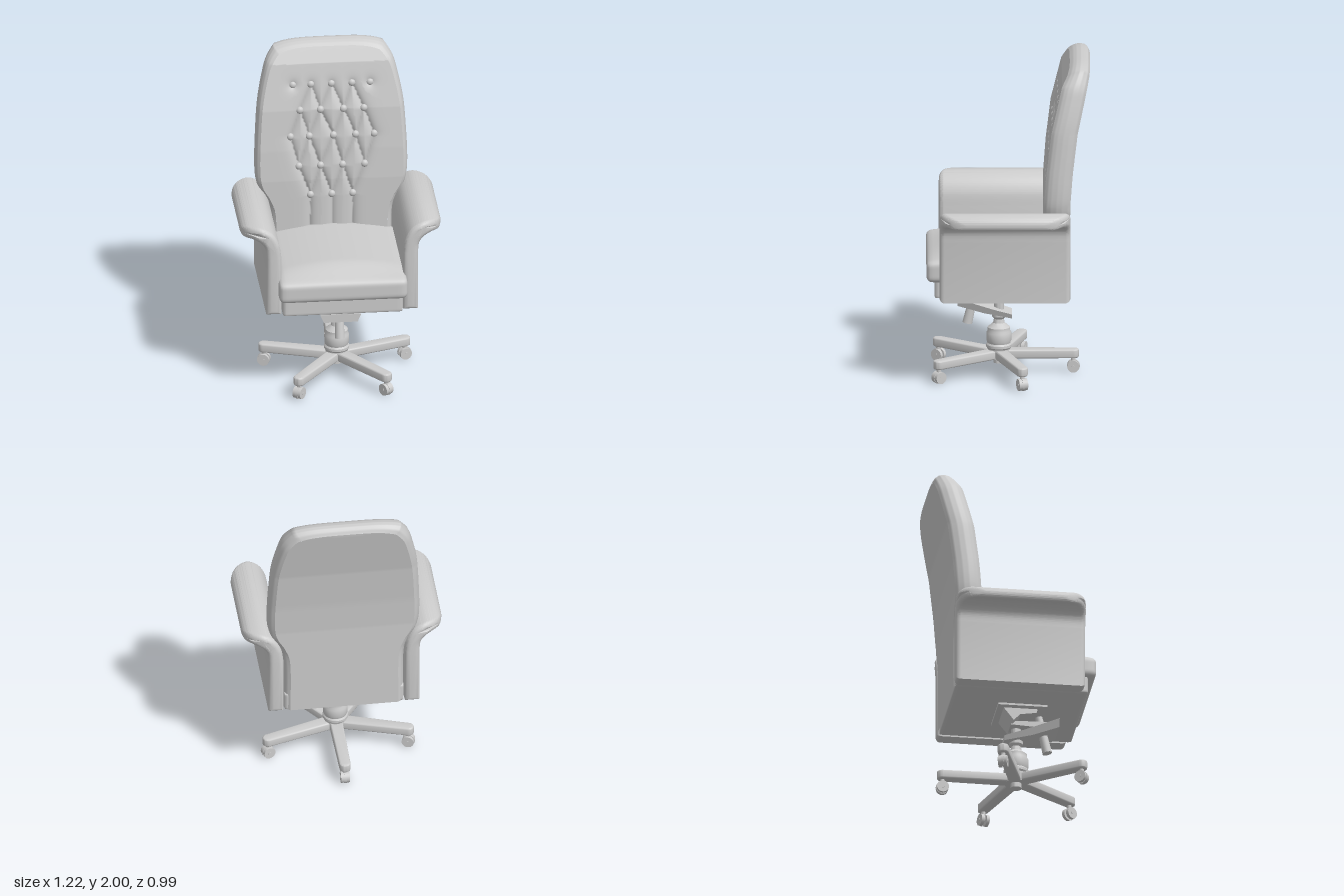
import * as THREE from 'three';
import { mergeVertices, toCreasedNormals } from 'three/addons/utils/BufferGeometryUtils.js';
import { ParametricGeometry } from 'three/addons/geometries/ParametricGeometry.js';

const mat = new THREE.MeshStandardMaterial({ color: 0xcccccc });

function add(parent, name, geo, x = 0, y = 0, z = 0) {
  const m = new THREE.Mesh(geo, mat);
  m.name = name;
  m.position.set(x, y, z);
  parent.add(m);
  return m;
}

// piecewise linear lookup in a list of [key, value]
function lookup(table, k) {
  if (k <= table[0][0]) return table[0][1];
  for (let i = 1; i < table.length; i++) {
    const [a, va] = table[i - 1], [b, vb] = table[i];
    if (k <= b) return va + (vb - va) * (k - a) / (b - a);
  }
  return table[table.length - 1][1];
}

// subdivided block with rounded edges
function roundBlock(w, h, d, r) {
  let g = new THREE.BoxGeometry(w, h, d, 36, 12, 36);
  g.deleteAttribute('uv');
  g.deleteAttribute('normal');
  g = mergeVertices(g);
  const p = g.attributes.position, v = new THREE.Vector3(), c = new THREE.Vector3();
  const inner = new THREE.Vector3(w / 2 - r, h / 2 - r, d / 2 - r);
  for (let i = 0; i < p.count; i++) {
    v.fromBufferAttribute(p, i);
    c.copy(v).clamp(inner.clone().negate(), inner);
    v.sub(c).setLength(r).add(c);
    p.setXYZ(i, v.x, v.y, v.z);
  }
  g.computeVertexNormals();
  return g;
}

// side profile of [z, y] points, extruded across x and centred
function sideExtrude(points, width) {
  const g = new THREE.ExtrudeGeometry(new THREE.Shape(points.map(([z, y]) => new THREE.Vector2(-z, y))),
    { depth: width, bevelEnabled: false });
  return g.translate(0, 0, -width / 2).rotateY(Math.PI / 2);
}

function buildBackrest() {
  const back = new THREE.Group();
  back.name = 'backrest';
  const outline = new THREE.SplineCurve([[.37, .56], [.37, .9], [.4, 1.02], [.452, 1.12], [.466, 1.25],
    [.456, 1.5], [.442, 1.65], [.412, 1.8], [.385, 1.89], [.335, 1.97]].map(p => new THREE.Vector2(...p)));
  const frontZ = y => lookup([[1.15, -.21], [1.35, -.225], [1.6, -.255], [1.88, -.32], [2, -.385]], y);
  const backZ = y => lookup([[1.15, -.37], [1.35, -.385], [1.6, -.415], [1.95, -.49], [2, -.497]], y);
  // u runs across, v up, inset shrinks the outline, f goes from front to back
  const place = (u, v, inset, f, t) => {
    const p = outline.getPoint(Math.min(1, Math.max(0, v)));
    const y = p.y + .03 * (1 - u ** 4) * v ** 8 - inset * v ** 6;
    return t.set(u * (p.x - inset), y, THREE.MathUtils.lerp(frontZ(y), backZ(y), f));
  };

  // buttons and the creases that join them
  const rows = [[1.75, [-.23, -.12, .005, .13, .24]], [1.595, [-.19, -.065, .075, .2]],
    [1.43, [-.25, -.135, .012, .147, .26]], [1.24, [-.2, -.068, .066, .2]], [1.05, [-.13, 0, .127]]];
  const creases = [];
  rows.forEach(([y, xs], r) => xs.forEach(x => {
    creases.push([x, y, x, y]);
    if (r === 4) creases.push([x, y, x, .75]);
    else if (r > 0 || Math.abs(x) < .2)
      rows[r + 1][1].forEach(x2 => { if (Math.abs(x2 - x) < .1) creases.push([x, y, x2, rows[r + 1][0]]); });
  }));
  const groove = (x, y) => {
    let best = 1;
    for (const [ax, ay, bx, by] of creases) {
      const dx = bx - ax, dy = by - ay, l = dx * dx + dy * dy;
      const t = l ? Math.min(1, Math.max(0, ((x - ax) * dx + (y - ay) * dy) / l)) : 0;
      best = Math.min(best, Math.hypot(x - ax - t * dx, y - ay - t * dy));
    }
    return .024 * Math.exp(-best / .022);
  };

  add(back, 'tuftedPanel', new ParametricGeometry((u, v, t) => {
    place(u * 2 - 1, v, .03, 0, t);
    t.z -= groove(t.x, t.y);
  }, 84, 130));
  add(back, 'rearPanel', new ParametricGeometry((u, v, t) => place(1 - u * 2, v, .04, 1, t), 16, 48));
  // rounded rim up one side, over the top and down the other
  const rim = [[0, .03], [.08, .016], [.22, .006], [.45, 0], [.7, .004], [.88, .016], [1, .04]];
  add(back, 'rim', new ParametricGeometry((a, b, t) => {
    const f = 1 - b, inset = lookup(rim, f);
    if (a < .4) place(1, a / .4, inset, f, t);
    else if (a <= .6) place(1 - (a - .4) * 10, 1, inset, f, t);
    else place(-1, (1 - a) / .4, inset, f, t);
  }, 120, 14));

  const button = new THREE.SphereGeometry(.023, 14, 10).scale(1, 1, .8);
  rows.forEach(([y, xs]) => xs.forEach(x => add(back, 'button', button, x, y, frontZ(y) - .018)));
  return back;
}

// upright side panel that rolls outward into the armrest
function armGeometry(s) {
  const pts = list => list.map(([x, y]) => new THREE.Vector2(s * x, y));
  const shape = new THREE.Shape();
  shape.moveTo(s * .37, .555);
  shape.lineTo(s * .37, .93);
  shape.splineThru(pts([[.385, 1.02], [.425, 1.09], [.49, 1.127], [.56, 1.125], [.6, 1.105],
    [.612, 1.075], [.595, 1.05], [.545, 1.05], [.495, 1.03], [.468, .99], [.462, .93]]));
  shape.lineTo(s * .462, .555);
  const bevel = .03;
  const g = new THREE.ExtrudeGeometry(shape, { depth: .79 - 2 * bevel, curveSegments: 40, bevelEnabled: true,
    bevelSize: bevel, bevelThickness: bevel, bevelOffset: -bevel, bevelSegments: 5 });
  g.translate(0, 0, bevel - .395);
  // the roll gets shorter towards its outer edge
  const p = g.attributes.position;
  for (let i = 0; i < p.count; i++) {
    const t = Math.min(1, Math.max(0, (Math.abs(p.getX(i)) - .45) / .163));
    const half = .23 + .167 * Math.sqrt(1 - t * t);
    p.setZ(i, p.getZ(i) * half / .395 + .025);
  }
  return toCreasedNormals(g, .7);
}

function buildSeat() {
  const seat = new THREE.Group();
  seat.name = 'seat';
  const g = roundBlock(.78, .14, .76, .035).translate(0, .73, .12);
  const p = g.attributes.position;
  // crowned top
  for (let i = 0; i < p.count; i++) {
    const k = Math.max(0, (p.getY(i) - .7) / .1);
    const fromFront = THREE.MathUtils.smoothstep(.5 - p.getZ(i), -.02, .2);
    p.setY(i, p.getY(i) + k * (.055 * (1 - (p.getX(i) / .42) ** 2) * fromFront - .01 * (1 - fromFront)));
  }
  g.computeVertexNormals();
  add(seat, 'cushion', g);
  add(seat, 'seatBase', roundBlock(.73, .12, .81, .012), 0, .617, .045);
  return seat;
}

function buildMechanism() {
  const mech = new THREE.Group();
  mech.name = 'tiltMechanism';
  add(mech, 'mountingPlate', new THREE.BoxGeometry(.31, .015, .3), 0, .552, .08);
  add(mech, 'upperBracket', sideExtrude([[.18, .555], [-.04, .555], [.03, .465], [.07, .505], [.17, .52]], .23));
  add(mech, 'link', sideExtrude([[.3, .49], [.04, .485], [.02, .46], [.16, .452], [.3, .46]], .12));
  // tray that narrows towards the column
  const tray = sideExtrude([[.31, .49], [.31, .44], [.15, .388], [-.02, .35], [-.02, .378], [.1, .415], [.17, .44]], .25);
  const p = tray.attributes.position;
  for (let i = 0; i < p.count; i++)
    p.setX(i, p.getX(i) * THREE.MathUtils.mapLinear(p.getY(i), .35, .49, .5, 1));
  tray.computeVertexNormals();
  add(mech, 'tray', tray);
  add(mech, 'tensionKnob', new THREE.CylinderGeometry(.022, .03, .24, 16), 0, .425, .225).rotation.x = -.22;
  return mech;
}

function buildBase() {
  const base = new THREE.Group();
  base.name = 'base';
  base.position.z = .06;
  const column = [[0, .06], [.034, .06], [.034, .09], [.07, .09], [.07, .15], [.077, .16], [.077, .175], [.07, .185],
    [.075, .2], [.075, .25], [.068, .262], [.068, .282], [.055, .292], [.035, .31], [.03, .335], [.042, .35],
    [.042, .37], [.03, .38], [.03, .45], [0, .45]];
  add(base, 'column', toCreasedNormals(new THREE.LatheGeometry(column.map(q => new THREE.Vector2(...q)), 28), .6));

  const shape = new THREE.Shape();
  shape.moveTo(0, -.04);
  shape.lineTo(.45, -.034);
  shape.absarc(.45, 0, .034, -Math.PI / 2, Math.PI / 2, false);
  shape.lineTo(0, .04);
  const legGeo = toCreasedNormals(new THREE.ExtrudeGeometry(shape, { depth: .035, bevelEnabled: true, bevelSize: .01,
    bevelThickness: .01, bevelOffset: -.01, bevelSegments: 3 }).rotateX(-Math.PI / 2).translate(0, .1, 0), .7);
  const wheel = new THREE.CylinderGeometry(.037, .037, .02, 20).rotateX(Math.PI / 2);
  const hood = new THREE.CylinderGeometry(.04, .04, .014, 16, 1, false, 0, Math.PI).rotateX(Math.PI / 2).rotateZ(.3);
  for (let i = 0; i < 5; i++) {
    const leg = new THREE.Group();
    leg.name = 'leg';
    leg.rotation.y = Math.PI / 2 + i * Math.PI * 2 / 5;
    add(leg, 'spoke', legGeo);
    add(leg, 'casterStem', new THREE.CylinderGeometry(.014, .014, .06, 12), .45, .07, 0);
    add(leg, 'casterHood', hood, .45, .037, 0);
    for (const s of [-1, 1]) add(leg, 'casterWheel', wheel, .45, .037, s * .017);
    add(leg, 'casterAxle', new THREE.CylinderGeometry(.01, .01, .06, 10).rotateX(Math.PI / 2), .45, .037, 0);
    base.add(leg);
  }
  return base;
}

export function createModel() {
  const chair = new THREE.Group();
  chair.name = 'officeChair';
  chair.add(buildBackrest(), buildSeat(), buildMechanism(), buildBase());
  add(chair, 'leftArm', armGeometry(1));
  add(chair, 'rightArm', armGeometry(-1));
  return chair;
}
